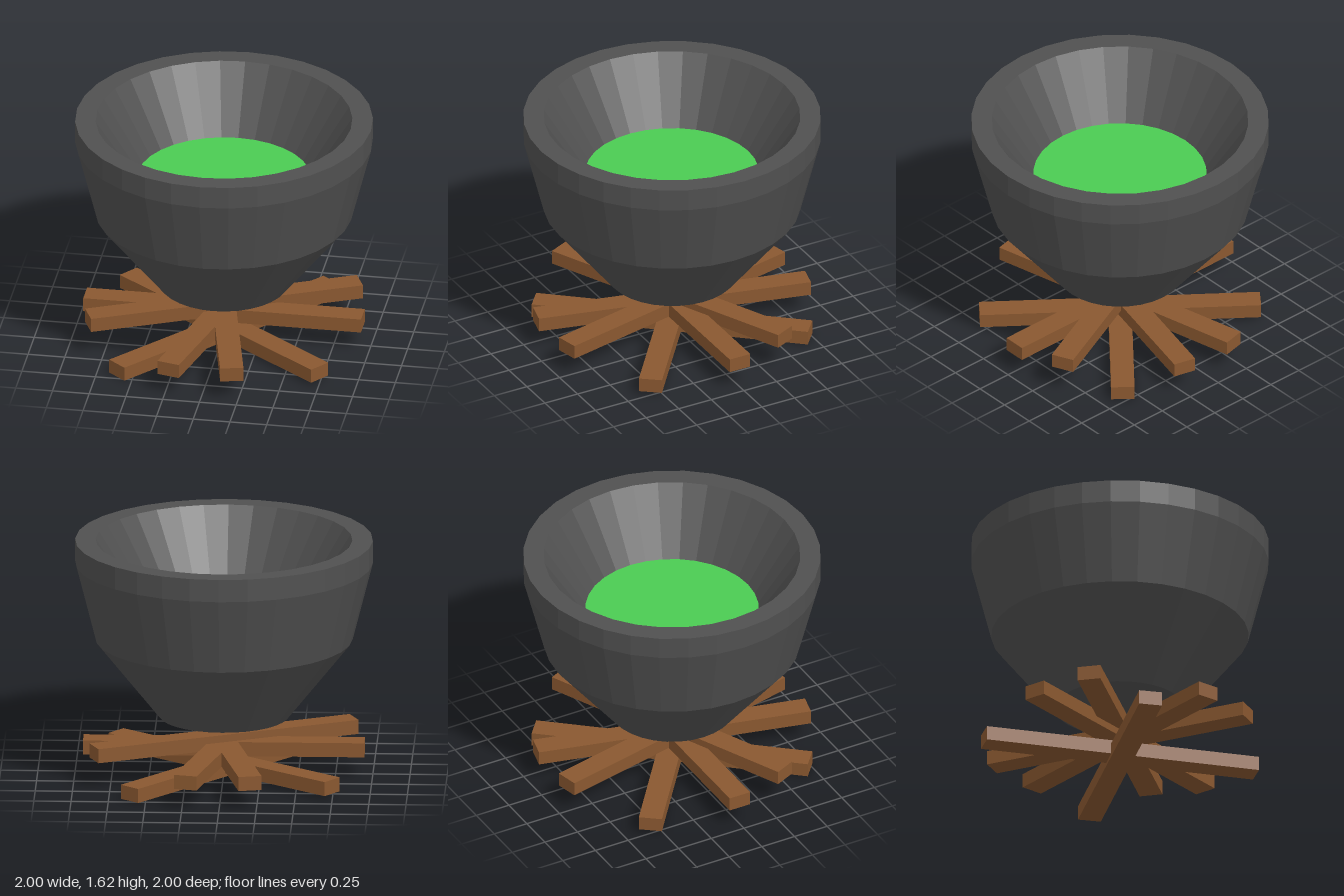
import * as THREE from 'three';

const SIDES = 32;

function material(color) {
  return new THREE.MeshStandardMaterial({ color, flatShading: true });
}

export function createModel() {
  const model = new THREE.Group();
  model.name = 'cauldronOverFire';

  // Bowl: outer wall, flat rim and inner wall in one turned profile
  const profile = [
    [0, 0.4], [0.435, 0.4], [0.865, 0.94], [1, 1.47],
    [1, 1.625], [0.862, 1.625], [0.583, 1.19],
  ].map(([r, y]) => new THREE.Vector2(r, y));
  const bowl = new THREE.Mesh(new THREE.LatheGeometry(profile, SIDES), material(0x505050));
  bowl.name = 'bowl';
  model.add(bowl);

  // Liquid surface closing the inner wall
  const liquid = new THREE.Mesh(new THREE.CircleGeometry(0.583, SIDES), material(0x4bcc52));
  liquid.name = 'liquid';
  liquid.rotation.x = -Math.PI / 2;
  liquid.position.y = 1.19;
  model.add(liquid);

  // Crossed logs: [turn in degrees, height of centre]
  const logs = new THREE.Group();
  logs.name = 'firewood';
  const logGeometry = new THREE.BoxGeometry(1.89, 0.098, 0.157);
  const wood = material(0x8a5830);
  [
    [49.9, 0.049], [-37.7, 0.072], [0, 0.186],
    [76.1, 0.186], [-77.3, 0.186], [24.6, 0.236],
  ].forEach(([turn, y], i) => {
    const log = new THREE.Mesh(logGeometry, wood);
    log.name = `log${i + 1}`;
    log.rotation.y = THREE.MathUtils.degToRad(turn);
    log.position.y = y;
    logs.add(log);
  });
  model.add(logs);

  return model;
}
